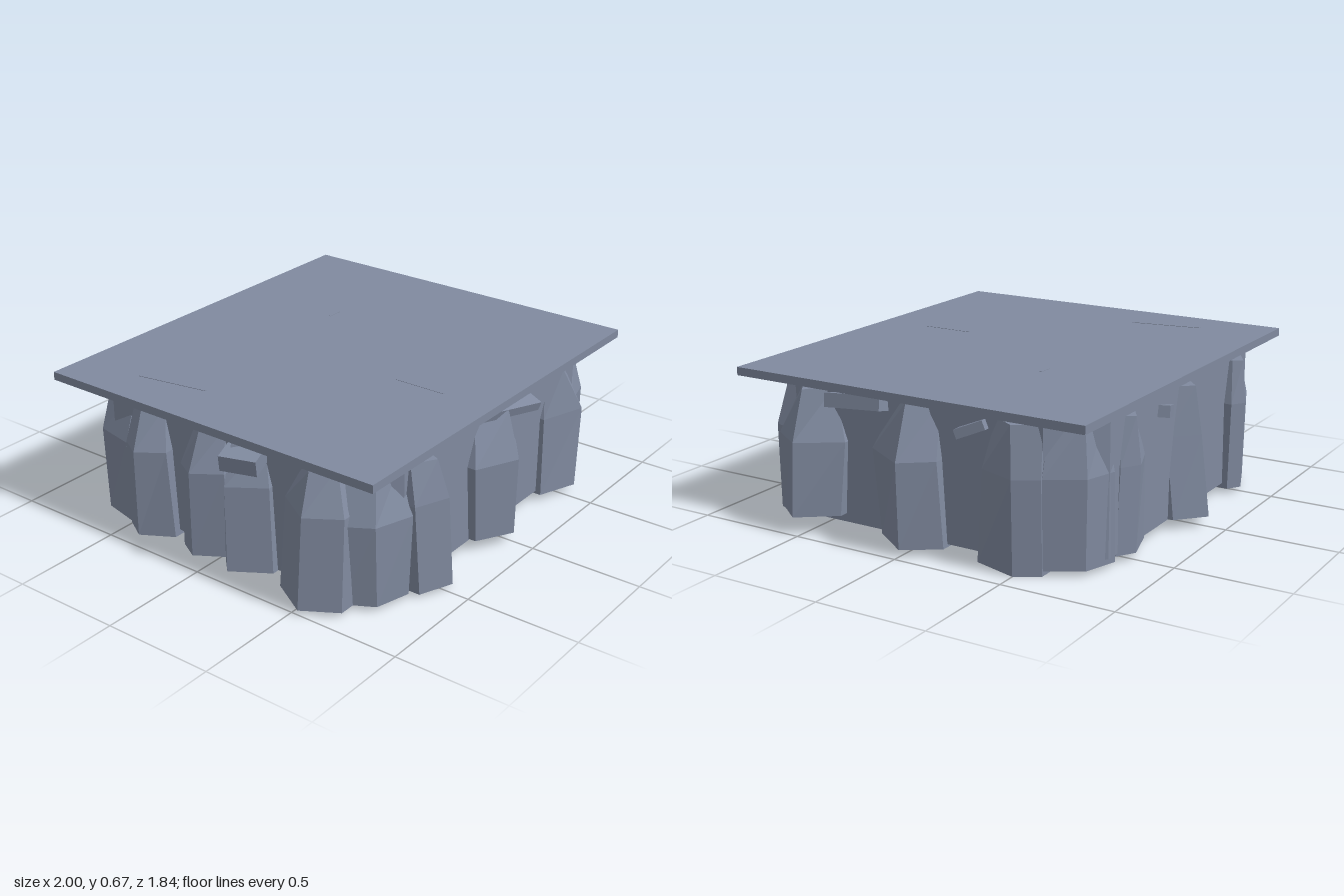
import * as THREE from 'three';

// Each column: [left recess, right recess, ...levels], level = [y, left, right, ridge, outward reach]
const FRONT = [
  [.09, .10, [.05, -.17, .16, -.01, .91], [.40, -.20, .13, -.01, .915], [.60, -.12, .09, 0, .85]],
  [.06, .08, [.015, -.61, -.41, -.46, .90], [.42, -.64, -.45, -.49, .89], [.59, -.62, -.48, -.52, .85]],
  [.07, .08, [.03, .38, .61, .56, .88], [.40, .38, .62, .59, .875], [.60, .46, .61, .50, .82]],
];
const RIGHT = [
  [.10, .12, [.08, -.65, -.36, -.52, 1.0], [.40, -.67, -.34, -.52, .98], [.62, -.57, -.42, -.50, .93]],
  [.12, .10, [.03, -.17, .15, 0, .97], [.40, -.20, .13, 0, .98], [.63, -.10, .10, 0, .90]],
  [.06, .06, [0, .30, .60, .50, .91], [.40, .33, .60, .50, .92], [.61, .38, .59, .48, .89]],
];
const BACK = [
  [.11, .12, [.045, -.12, .19, 0, .92], [.40, -.11, .17, 0, .875], [.61, -.09, .13, 0, .84]],
  [.04, .07, [.02, .44, .68, .50, .85], [.42, .43, .67, .49, .86], [.61, .47, .62, .50, .84]],
  [.05, .05, [.03, -.58, -.33, -.50, .83], [.40, -.57, -.36, -.49, .84], [.60, -.54, -.42, -.50, .82]],
];
const LEFT = [
  [.06, .08, [.02, -.48, -.24, -.38, .95], [.42, -.47, -.26, -.37, .96], [.60, -.45, -.30, -.36, .91]],
  [.05, .08, [.03, -.16, .06, -.07, .95], [.42, -.15, .06, -.06, .96], [.60, -.10, .03, -.04, .91]],
  [.06, .10, [.04, .08, .30, .14, .97], [.42, .09, .28, .13, .96], [.60, .11, .23, .14, .92]],
  [.10, .09, [.02, .36, .68, .53, 1.0], [.42, .37, .67, .53, .97], [.60, .45, .60, .53, .92]],
];
// Corner columns stand across the chamfered corners
const FRONT_RIGHT = [
  [.08, .06, [.02, -.11, .16, .015, 1.09], [.40, -.12, .15, .02, 1.095], [.59, -.07, .10, .01, 1.04]],
];
const BACK_RIGHT = [
  [.04, .07, [.02, -.18, .13, -.01, 1.06], [.40, -.18, .12, -.01, 1.07], [.62, -.14, .09, -.01, 1.03]],
];
const BACK_LEFT = [
  [.04, .10, [.02, -.06, .29, .127, 1.06], [.40, -.06, .28, .125, 1.07], [.60, -.03, .22, .11, 1.02]],
];
const FRONT_LEFT = [
  [.04, .08, [.02, -.16, .12, -.02, 1.10], [.38, -.19, .13, -.03, 1.11], [.57, -.12, .08, -.02, 1.05]],
];

// Faceted rock column lofted through its levels, its back buried in the core
function columnGeometry([dl, dr, ...levels]) {
  const back = 0.7, n = 5, pos = [], index = [];
  for (const [y, l, r, ridge, out] of levels) {
    pos.push(l, y, back, l, y, out - dl, ridge, y, out, r, y, out - dr, r, y, back);
  }
  for (let k = 0; k < levels.length - 1; k++) {
    for (let i = 0; i < n; i++) {
      const a = k * n + i, b = k * n + (i + 1) % n;
      index.push(a, b, b + n, a, b + n, a + n);
    }
  }
  const t = (levels.length - 1) * n;
  for (let i = 1; i < n - 1; i++) index.push(t, t + i, t + i + 1, 0, i + 1, i);
  const g = new THREE.BufferGeometry();
  g.setAttribute('position', new THREE.Float32BufferAttribute(pos, 3));
  g.setIndex(index);
  const flat = g.toNonIndexed();
  flat.computeVertexNormals();
  return flat;
}

// Upright block with chamfered corners
function coreGeometry(x, z, cut, bottom, height) {
  const outline = [
    [x, z - cut], [x - cut, z], [cut - x, z], [-x, z - cut],
    [-x, cut - z], [cut - x, -z], [x - cut, -z], [x, cut - z],
  ].map(([a, b]) => new THREE.Vector2(a, b));
  const g = new THREE.ExtrudeGeometry(new THREE.Shape(outline), { depth: height, bevelEnabled: false });
  return g.rotateX(-Math.PI / 2).translate(0, bottom, 0);
}

export function createModel() {
  const model = new THREE.Group();
  model.name = 'rockPlatform';
  const stone = new THREE.MeshStandardMaterial({ color: 0x808a9f });
  stone.name = 'slateStone';
  stone.flatShading = true;

  const block = (name, size, at, rot = [0, 0, 0]) => {
    const m = new THREE.Mesh(new THREE.BoxGeometry(...size), stone);
    m.name = name;
    m.position.set(...at);
    m.rotation.set(...rot);
    model.add(m);
  };

  // Top slab, core and the plate beneath
  block('topSlab', [1.875, 0.036, 1.68], [-0.022, 0.647, 0.02]);
  const core = new THREE.Mesh(coreGeometry(0.84, 0.785, 0.19, 0.043, 0.59), stone);
  core.name = 'core';
  model.add(core);
  block('bottomPlate', [0.19, 0.03, 0.5], [-0.02, 0.043, -0.02]);

  // Rock columns around the four sides and corners, in steps of 45 degrees
  const sides = {
    front: [FRONT, 0], frontRight: [FRONT_RIGHT, 1], right: [RIGHT, 2], backRight: [BACK_RIGHT, 3],
    back: [BACK, 4], backLeft: [BACK_LEFT, 5], left: [LEFT, 6], frontLeft: [FRONT_LEFT, 7],
  };
  for (const [name, [columns, step]] of Object.entries(sides)) {
    const side = new THREE.Group();
    side.name = name + 'Columns';
    side.rotation.y = step * Math.PI / 4;
    columns.forEach((c, i) => {
      const m = new THREE.Mesh(columnGeometry(c), stone);
      m.name = `${name}Column${i + 1}`;
      side.add(m);
    });
    model.add(side);
  }

  // Loose shards wedged below the slab
  block('frontShard', [0.36, 0.04, 0.14], [0.05, 0.598, 0.78], [0.3, -0.2, -0.1]);
  block('rightShard', [0.14, 0.06, 0.28], [0.83, 0.58, 0.27], [0.08, 0, 0.2]);
  block('rightRearShard', [0.12, 0.04, 0.13], [0.83, 0.555, -0.28], [0.4, 0.2, 0]);
  block('leftShard', [0.14, 0.07, 0.16], [-0.9, 0.55, 0.19], [0, 0.3, 0.15]);
  block('backShard', [0.1, 0.05, 0.08], [0.19, 0.54, -0.78], [0, 0.3, 0.2]);

  // Thin rock tips breaking through the slab
  block('rearTip', [0.008, 0.01, 0.33], [-0.74, 0.662, -0.34], [0, 0.17, 0]);
  block('sideTip', [0.07, 0.01, 0.01], [0.29, 0.6615, -0.28]);
  block('frontTip', [0.01, 0.01, 0.24], [-0.14, 0.6615, 0.5]);
  return model;
}
